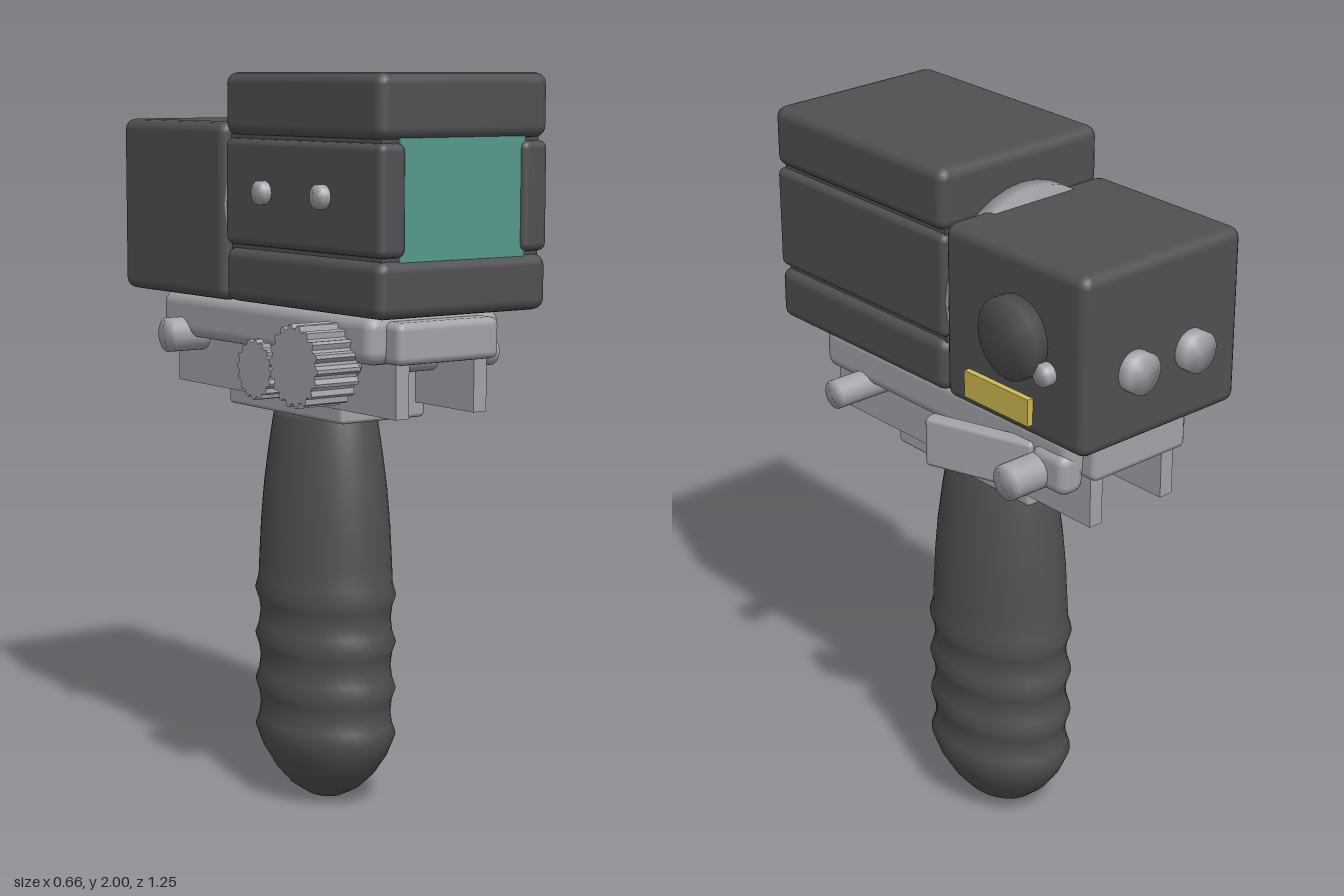
import * as THREE from 'three';
import { mergeVertices } from 'three/addons/utils/BufferGeometryUtils.js';
import { RoundedBoxGeometry } from 'three/addons/geometries/RoundedBoxGeometry.js';

export function createModel() {
  const model = new THREE.Group();
  const material = (name, color) => {
    const m = new THREE.MeshStandardMaterial({ color });
    m.name = name;
    return m;
  };
  const dark = material('charcoal', 0x505053);
  const metal = material('grey metal', 0xa2a3a8);
  const glass = material('teal glass', 0x55988e);
  const yellow = material('yellow label', 0xcdb950);

  const add = (name, geometry, mat) => {
    const mesh = new THREE.Mesh(geometry, mat);
    mesh.name = name;
    model.add(mesh);
    return mesh;
  };
  // Boxes are given by their extents on each axis
  const box = (name, mat, [x0, x1], [y0, y1], [z0, z1], r = 0) => {
    const size = [x1 - x0, y1 - y0, z1 - z0];
    const g = r ? new RoundedBoxGeometry(...size, 2, r) : new THREE.BoxGeometry(...size);
    const mesh = add(name, g, mat);
    mesh.position.set((x0 + x1) / 2, (y0 + y1) / 2, (z0 + z1) / 2);
    return mesh;
  };
  // Cylinder with normals blended over its rim
  const softCylinder = (r, h, sides = 32) => {
    const g = new THREE.CylinderGeometry(r, r, h, sides);
    g.deleteAttribute('normal');
    g.deleteAttribute('uv');
    const merged = mergeVertices(g);
    merged.computeVertexNormals();
    return merged;
  };
  const pinX = (name, mat, x0, x1, y, z, r) => {
    const mesh = add(name, softCylinder(r, x1 - x0), mat);
    mesh.rotation.z = Math.PI / 2;
    mesh.position.set((x0 + x1) / 2, y, z);
  };
  const pinZ = (name, mat, x, y, z0, z1, r) => {
    const mesh = add(name, softCylinder(r, z1 - z0), mat);
    mesh.rotation.x = Math.PI / 2;
    mesh.position.set(x, y, (z0 + z1) / 2);
  };

  // Front housing: top and bottom slabs, side cheeks, core and window
  const frontZ = [-0.07, 0.625];
  box('frontHousingTop', dark, [-0.27, 0.27], [1.835, 2], frontZ, 0.03);
  box('frontHousingBottom', dark, [-0.27, 0.27], [1.395, 1.54], frontZ, 0.03);
  for (const s of [-1, 1]) {
    const xs = s < 0 ? [-0.268, -0.185] : [0.185, 0.268];
    box('frontHousingCheek', dark, xs, [1.547, 1.828], frontZ, 0.02);
  }
  box('frontHousingCore', dark, [-0.25, 0.25], [1.43, 1.95], [-0.06, 0.603]);
  box('window', glass, [-0.2, 0.2], [1.535, 1.84], [0.603, 0.611]);

  // Rear housing with the coupling ring in front of it
  box('rearHousing', dark, [-0.27, 0.27], [1.393, 1.87], [-0.592, -0.073], 0.03);
  pinZ('couplingRing', metal, 0, 1.65, -0.118, -0.05, 0.26);
  pinX('sideDial', dark, 0.25, 0.308, 1.655, -0.355, 0.108);
  pinX('dialStop', metal, 0.25, 0.296, 1.59, -0.465, 0.03);
  box('labelPlate', yellow, [0.278, 0.287], [1.43, 1.503], [-0.41, -0.17]);
  box('labelBacking', yellow, [0.269, 0.278], [1.43, 1.503], [-0.41, -0.17]);
  for (const x of [-0.095, 0.1]) pinZ('rearButton', metal, x, 1.59, -0.628, -0.57, 0.055);
  for (const z of [0.122, 0.385]) pinX('sideButton', metal, -0.29, -0.24, 1.69, z, 0.031);

  // Mounting rail
  box('mountPlate', metal, [-0.215, 0.215], [1.267, 1.393], [-0.48, 0.51], 0.035);
  box('mountTongue', metal, [-0.163, 0.163], [1.27, 1.378], [-0.525, 0.565], 0.02);
  for (const s of [-1, 1]) {
    const xs = s < 0 ? [-0.147, -0.105] : [0.105, 0.147];
    box('mountRail', metal, xs, [1.13, 1.29], [-0.493, 0.53]);
  }
  box('mountBlock', metal, [-0.11, 0.11], [1.1, 1.27], [-0.25, 0.285]);
  box('gripPlate', metal, [-0.138, 0.138], [1.088, 1.14], [-0.25, 0.285], 0.012);

  // Cross bolts and clamp lever
  pinX('frontBolt', metal, -0.2, 0.31, 1.262, 0.345, 0.04);
  pinX('middleBolt', metal, -0.12, 0.165, 1.215, 0.02, 0.055);
  pinX('rearBolt', metal, -0.26, 0.328, 1.275, -0.375, 0.048);
  const lever = box('clampLever', metal, [0.233, 0.278], [1.203, 1.342], [-0.36, -0.04], 0.012);
  lever.rotation.y = 0.32;
  box('leverPivot', metal, [0.15, 0.23], [1.23, 1.345], [-0.48, -0.35], 0.03);

  // Toothed clamp knobs on the right side
  const knob = (name, x0, x1, y, z, r, teeth) => {
    const shape = new THREE.Shape();
    for (let i = 0; i < teeth * 4; i++) {
      const a = (i / (teeth * 4)) * Math.PI * 2;
      const radius = i % 4 < 2 ? r : r * 0.89;
      shape[i ? 'lineTo' : 'moveTo'](radius * Math.cos(a), radius * Math.sin(a));
    }
    const g = new THREE.ExtrudeGeometry(shape, { depth: x1 - x0, bevelEnabled: false });
    const mesh = add(name, g, metal);
    mesh.rotation.y = Math.PI / 2;
    mesh.position.set(x0, y, z);
  };
  knob('largeKnob', -0.333, -0.2, 1.262, 0.343, 0.108, 18);
  knob('smallKnob', -0.235, -0.13, 1.215, 0.02, 0.082, 16);

  // Oval hand grip with finger ridges
  const profile = [
    [0, 0.003], [0.06, 0.012], [0.115, 0.04], [0.165, 0.085], [0.205, 0.14], [0.23, 0.195],
    [0.218, 0.225], [0.213, 0.26], [0.218, 0.295], [0.23, 0.325], [0.218, 0.355],
    [0.213, 0.39], [0.218, 0.425], [0.23, 0.455], [0.218, 0.485], [0.213, 0.52],
    [0.218, 0.555], [0.23, 0.585], [0.219, 0.62], [0.216, 0.68], [0.21, 0.78],
    [0.2, 0.88], [0.185, 0.98], [0.168, 1.075], [0.158, 1.088], [0, 1.09],
  ].map(([r, y]) => new THREE.Vector2(r, y));
  const grip = add('grip', new THREE.LatheGeometry(profile, 40), dark);
  grip.scale.x = 0.755;
  grip.position.z = 0.018;

  return model;
}
